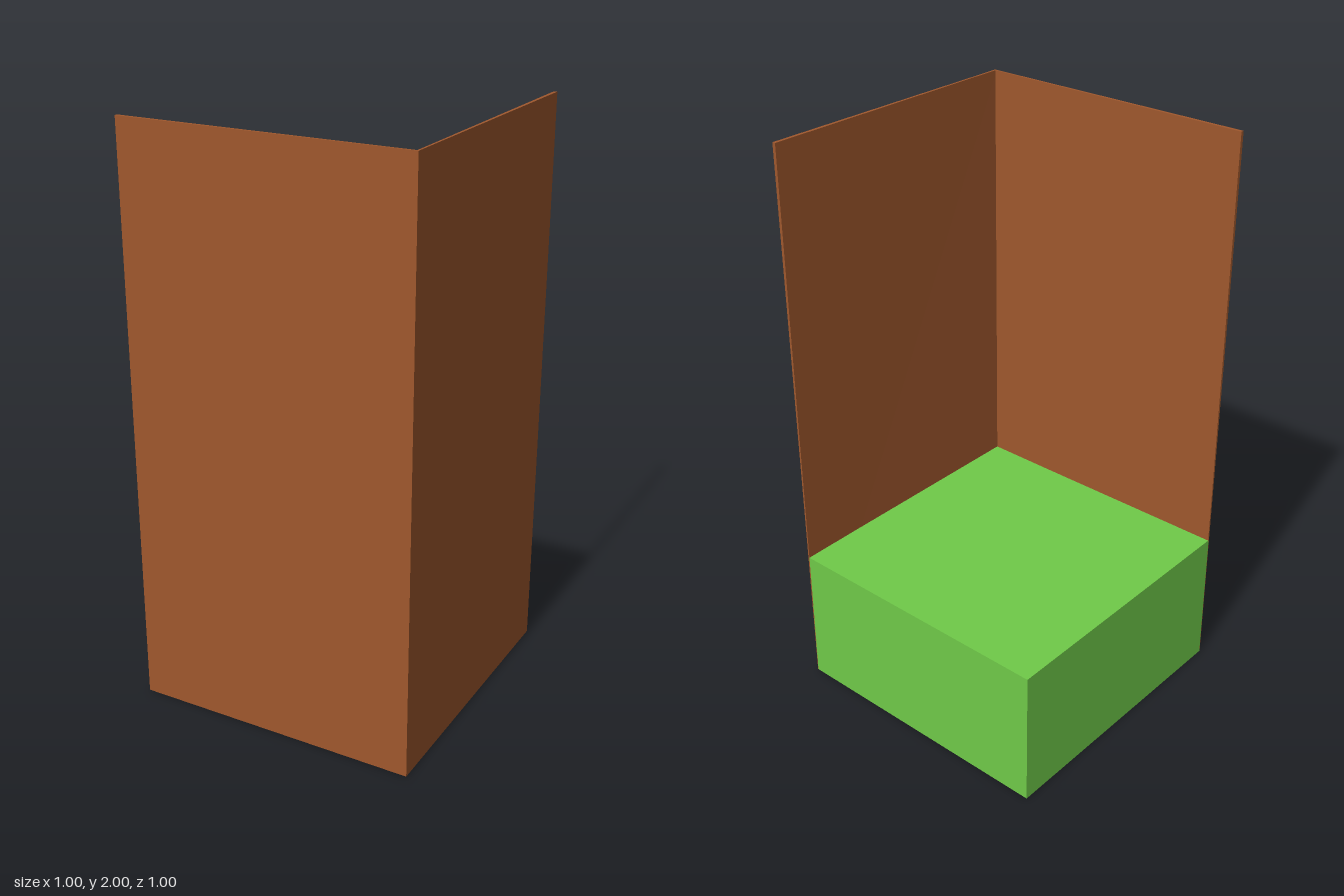
import * as THREE from 'three';

const brown = new THREE.MeshStandardMaterial({ color: 0xa0582d, flatShading: true });
const green = new THREE.MeshStandardMaterial({ color: 0x70cb49, flatShading: true });

// Thin upright panel: flat outer face at z = 0.5, inner face tapering
// towards the base and towards the corner shared by both panels.
function makeWall(name, cornerSide) {
  const geo = new THREE.BoxGeometry(1, 2, 1);
  const pos = geo.attributes.position;
  for (let i = 0; i < pos.count; i++) {
    if (pos.getZ(i) > 0) continue;
    const top = pos.getY(i) > 0 ? 1 : 0;
    const free = pos.getX(i) * cornerSide < 0 ? 1 : 0;
    pos.setZ(i, 0.5 - (0.003 + top * (0.004 + free * 0.005)));
  }
  geo.translate(0, 1, 0);
  geo.computeVertexNormals();
  const wall = new THREE.Mesh(geo, brown);
  wall.name = name;
  return wall;
}

export function createModel() {
  const model = new THREE.Group();
  model.name = 'corner';

  // Two walls meeting at the +x, +z corner
  const frontWall = makeWall('frontWall', 1);
  const leftWall = makeWall('leftWall', -1);
  leftWall.rotation.y = Math.PI / 2;

  // Solid floor block tucked just inside the walls
  const size = 0.998;
  const floor = new THREE.Mesh(new THREE.BoxGeometry(size, 0.5, size), green);
  floor.position.set(-0.001, 0.25, -0.001);
  floor.name = 'floorBlock';

  model.add(frontWall, leftWall, floor);
  return model;
}
